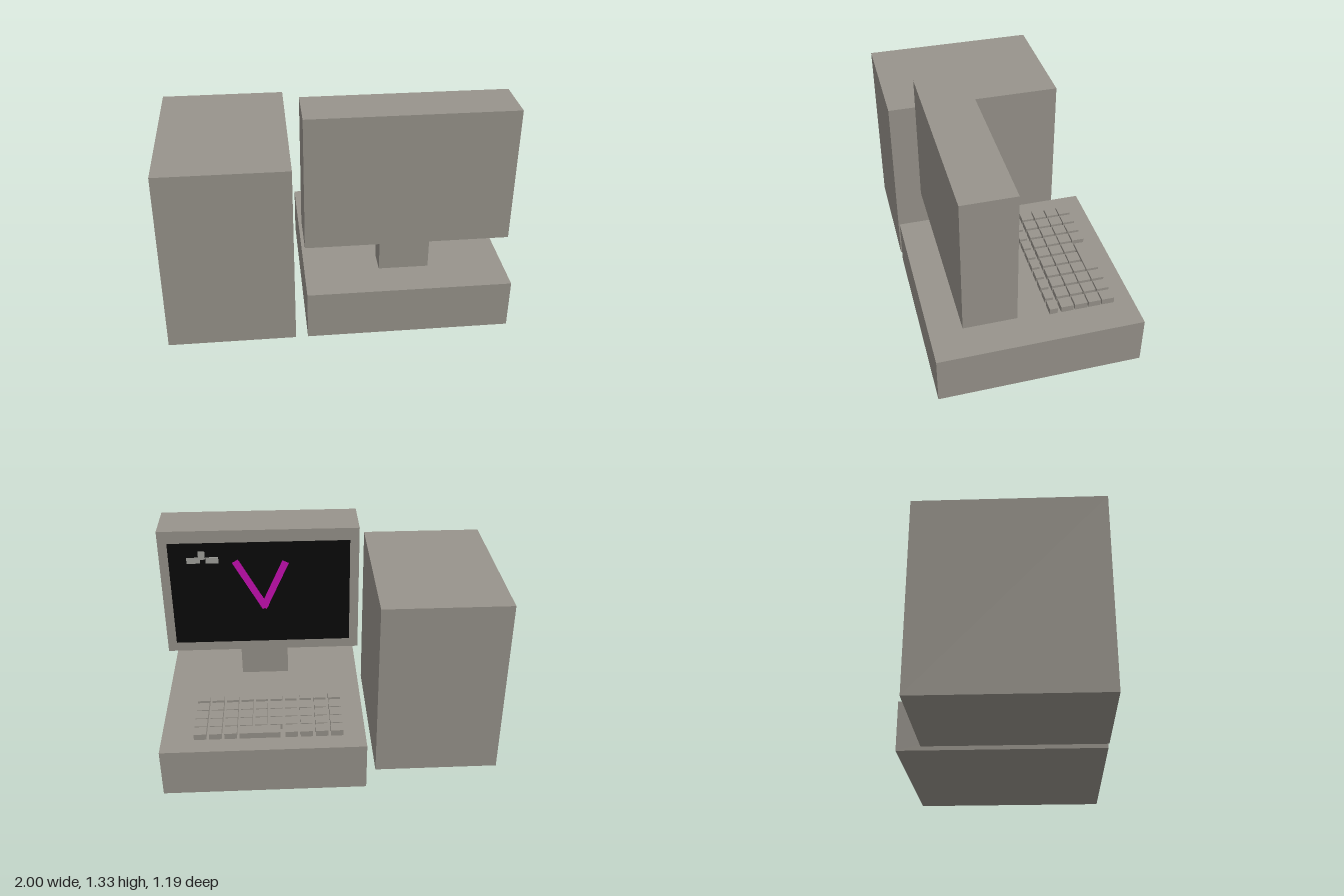
import * as THREE from 'three';

export function createModel() {
  const model = new THREE.Group();
  model.name = 'desktopComputer';

  const material = (name, color) => {
    const m = new THREE.MeshStandardMaterial({ color });
    m.name = name;
    return m;
  };
  const casing = material('warmGreyCasing', 0x98948c);
  const black = material('screenBlack', 0x0a0a0a);
  const magenta = material('strokeMagenta', 0xc80fb4);
  const grey = material('patchGrey', 0xa3a39e);

  // Box given by its minimum and maximum on each axis
  const block = (name, mat, [x0, x1], [y0, y1], [z0, z1], parent = model) => {
    const mesh = new THREE.Mesh(new THREE.BoxGeometry(x1 - x0, y1 - y0, z1 - z0), mat);
    mesh.position.set((x0 + x1) / 2, (y0 + y1) / 2, (z0 + z1) / 2);
    mesh.name = name;
    parent.add(mesh);
    return mesh;
  };

  // Main bodies
  block('tower', casing, [-1, -0.26], [0, 1.11], [-0.445, 0.595]);
  block('base', casing, [-0.19, 1], [0, 0.297], [-0.595, 0.595]);
  block('monitorNeck', casing, [0.255, 0.55], [0.297, 0.522], [0.225, 0.37]);
  block('monitor', casing, [-0.19, 1], [0.522, 1.333], [0.15, 0.445]);

  // Keyboard: four full rows and a shallow far row, with a long bar in the near row
  const keyboard = new THREE.Group();
  keyboard.name = 'keyboard';
  model.add(keyboard);
  const keyY = [0.297, 0.334];
  const rows = [[-0.482, -0.409], [-0.402, -0.329], [-0.322, -0.247], [-0.239, -0.165], [-0.144, -0.097]];
  rows.forEach((z, r) => {
    for (let c = 0; c < 10; c++) {
      if (r === 0 && c >= 4 && c <= 6) continue;
      const x = -0.06 + c * 0.0887;
      block('key', casing, [x, x + 0.072], keyY, z, keyboard);
    }
  });
  block('spaceBar', casing, [0.308, 0.545], keyY, rows[0], keyboard);

  // Screen panel on the keyboard side of the monitor
  block('screen', black, [-0.135, 0.945], [0.582, 1.256], [0.147, 0.151]);

  // Small grey patches in the screen corner
  const patches = [[0.798, 1.146, 0.08, 0.038], [0.748, 1.178, 0.04, 0.052], [0.687, 1.146, 0.076, 0.04]];
  for (const [x, y, w, h] of patches) {
    block('screenPatch', grey, [x - w / 2, x + w / 2], [y - h / 2, y + h / 2], [0.144, 0.148]);
  }

  // Two slanted strokes meeting at a point
  const tip = new THREE.Vector2(0.387, 0.832);
  for (const [x, y] of [[0.545, 1.123], [0.257, 1.112]]) {
    const d = new THREE.Vector2(x, y).sub(tip);
    const stroke = new THREE.Mesh(new THREE.BoxGeometry(d.length() + 0.03, 0.042, 0.004), magenta);
    stroke.position.set(tip.x + d.x / 2, tip.y + d.y / 2, 0.146);
    stroke.rotation.z = d.angle();
    stroke.name = 'screenStroke';
    model.add(stroke);
  }

  return model;
}
